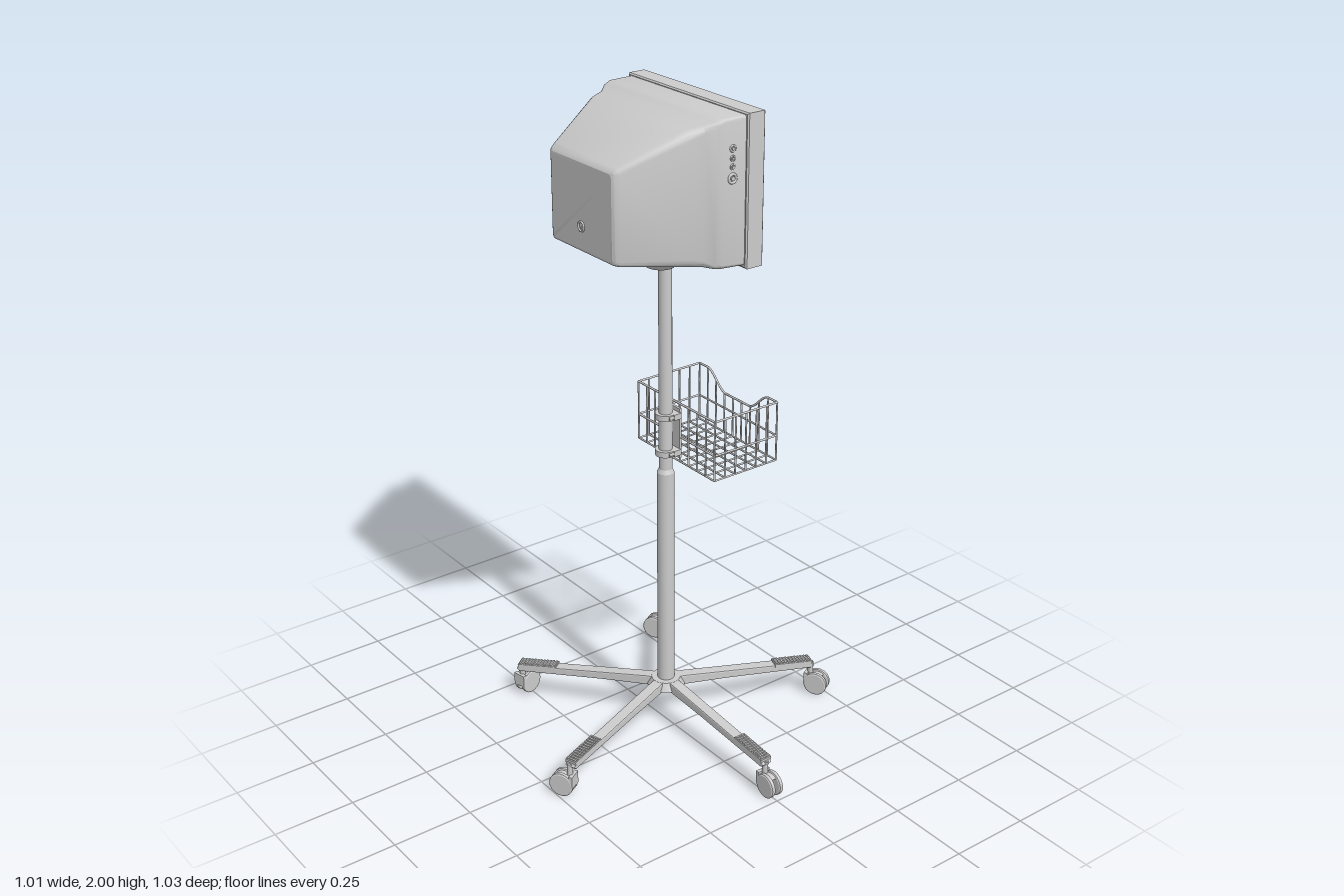
import * as THREE from 'three';
import { toCreasedNormals } from 'three/addons/utils/BufferGeometryUtils.js';

const mat = new THREE.MeshStandardMaterial({ color: 0xcccccc });
const CX = -0.046, CZ = -0.002; // axis of the pole

function add(parent, name, geo, x = 0, y = 0, z = 0) {
  const m = new THREE.Mesh(geo, mat);
  m.name = name;
  m.position.set(x, y, z);
  parent.add(m);
  return m;
}

function group(parent, name, x = 0, y = 0, z = 0) {
  const g = new THREE.Group();
  g.name = name;
  g.position.set(x, y, z);
  parent.add(g);
  return g;
}

const box = (w, h, d) => new THREE.BoxGeometry(w, h, d);
const cyl = (r0, r1, h, n = 24) => new THREE.CylinderGeometry(r0, r1, h, n);

// Straight wire between two points
function rod(parent, name, a, b, r = 0.003) {
  const p = new THREE.Vector3(...a), q = new THREE.Vector3(...b);
  const m = add(parent, name, cyl(r, r, p.distanceTo(q), 6));
  m.position.copy(p).lerp(q, 0.5);
  m.quaternion.setFromUnitVectors(new THREE.Vector3(0, 1, 0), q.sub(p).normalize());
}

function rectPath(Type, hw, y0, y1) {
  const s = new Type();
  s.moveTo(-hw, y0);
  s.lineTo(hw, y0);
  s.lineTo(hw, y1);
  s.lineTo(-hw, y1);
  s.closePath();
  return s;
}

// Closed loft through rounded rectangles [z, halfWidth, bottom, top, radius]
function loft(sections, steps = 4) {
  const pos = [], idx = [], n = 4 * (steps + 1);
  for (const [z, hw, y0, y1, r] of sections) {
    const corners = [[hw - r, y1 - r], [-hw + r, y1 - r], [-hw + r, y0 + r], [hw - r, y0 + r]];
    corners.forEach(([x, y], c) => {
      for (let i = 0; i <= steps; i++) {
        const a = (c + i / steps) * Math.PI / 2;
        pos.push(x + r * Math.cos(a), y + r * Math.sin(a), z);
      }
    });
  }
  const last = sections.length - 1;
  for (let s = 0; s < last; s++) for (let j = 0; j < n; j++) {
    const a = s * n + j, b = s * n + (j + 1) % n;
    idx.push(a, b, b + n, a, b + n, a + n);
  }
  for (let j = 1; j < n - 1; j++) {
    idx.push(0, j + 1, j, last * n, last * n + j, last * n + j + 1);
  }
  const g = new THREE.BufferGeometry();
  g.setAttribute('position', new THREE.Float32BufferAttribute(pos, 3));
  g.setIndex(idx);
  return toCreasedNormals(g, 0.5);
}

function buildMonitor(root) {
  const g = group(root, 'monitor', CX);
  // Tapered rear housing
  add(g, 'housing', loft([
    [-0.08, 0.26, 1.575, 1.994, 0.008], [0.0, 0.26, 1.58, 1.994, 0.012],
    [0.02, 0.256, 1.582, 1.988, 0.015], [0.045, 0.238, 1.587, 1.978, 0.02],
    [0.085, 0.23, 1.592, 1.97, 0.025], [0.262, 0.155, 1.612, 1.884, 0.014],
    [0.274, 0.148, 1.617, 1.876, 0.012], [0.279, 0.14, 1.625, 1.868, 0.01]]));
  // Screen frame with sloped inner lip
  const frame = rectPath(THREE.Shape, 0.264, 1.57, 1.996);
  frame.holes.push(rectPath(THREE.Path, 0.22, 1.627, 1.958));
  add(g, 'bezel', new THREE.ExtrudeGeometry(frame, {
    depth: 0.052, bevelThickness: 0.004, bevelSize: 0.004, bevelSegments: 1 }), 0, 0, -0.131);
  // Bulging glass
  const glass = new THREE.PlaneGeometry(0.45, 0.34, 16, 12);
  const p = glass.attributes.position;
  for (let i = 0; i < p.count; i++) {
    const u = p.getX(i) / 0.225, v = p.getY(i) / 0.17;
    p.setZ(i, 0.012 * (1 - (u * u + v * v) / 2));
  }
  glass.computeVertexNormals();
  add(g, 'screen', glass, 0, 1.7925, -0.115).rotation.y = Math.PI;
  // Front controls
  for (let i = 0; i < 6; i++) add(g, 'frontButton', box(0.014, 0.007, 0.004), 0.17 - i * 0.05, 1.596, -0.136);
  add(g, 'controlPanel', box(0.06, 0.036, 0.006), -0.165, 1.59, -0.136);
  add(g, 'frontKnob', cyl(0.012, 0.012, 0.01), -0.165, 1.59, -0.136).rotation.x = Math.PI / 2;
  // Side sockets
  for (const [y, r] of [[1.83, 0.016], [1.862, 0.009], [1.885, 0.009], [1.912, 0.011]]) {
    const s = group(g, 'sideSocket', 0.26, y, -0.03);
    s.rotation.y = Math.PI / 2;
    add(s, 'socketRing', new THREE.TorusGeometry(r * 0.75, r * 0.25, 8, 20));
    add(s, 'socketCore', cyl(r * 0.4, r * 0.4, 0.008, 16)).rotation.x = Math.PI / 2;
  }
  // Rear cable port
  const port = group(g, 'rearPort', 0, 1.69, 0.28);
  add(port, 'portRing', new THREE.TorusGeometry(0.013, 0.003, 8, 20));
  add(port, 'portPin', box(0.012, 0.005, 0.005), 0.006, -0.002, 0);
  // Swivel dish below the housing
  const dish = [[0, 1.522], [0.045, 1.522], [0.052, 1.528], [0.095, 1.565], [0.1, 1.575], [0.1, 1.6], [0, 1.6]]
    .map(([r, y]) => new THREE.Vector2(r, y));
  const d = add(g, 'swivelDish', toCreasedNormals(new THREE.LatheGeometry(dish, 32), 0.5), 0, 0, 0.017);
  d.scale.z = 0.92;
}

function buildBasket(root) {
  const g = group(root, 'basket', CX);
  const hw = 0.184, z0 = -0.04, z1 = -0.272, y0 = 0.9, ym = 0.98, y1 = 1.087;
  // Scooped rim on the outer side
  const rimY = x => y1 - 0.058 * THREE.MathUtils.smoothstep(0.145 - Math.abs(x), 0, 0.09);
  for (let i = 0; i <= 9; i++) {
    const x = -hw + 2 * hw * i / 9;
    rod(g, 'floorWire', [x, y0, z0], [x, y0, z1]);
    rod(g, 'innerWire', [x, y0, z0], [x, y1, z0]);
    rod(g, 'outerWire', [x, y0, z1], [x, rimY(x), z1]);
  }
  for (let i = 0; i <= 6; i++) {
    const z = z0 + (z1 - z0) * i / 6;
    rod(g, 'floorWire', [-hw, y0, z], [hw, y0, z]);
    for (const s of [-hw, hw]) rod(g, 'sideWire', [s, y0, z], [s, y1, z]);
  }
  for (const y of [ym, y1]) {
    rod(g, 'innerRail', [-hw, y, z0], [hw, y, z0], 0.0035);
    for (const s of [-hw, hw]) rod(g, 'sideRail', [s, y, z0], [s, y, z1], 0.0035);
  }
  rod(g, 'outerRail', [-hw, ym, z1], [hw, ym, z1]);
  const pts = Array.from({ length: 33 }, (_, i) => {
    const x = -hw + 2 * hw * i / 32;
    return new THREE.Vector3(x, rimY(x), z1);
  });
  add(g, 'scoopedRim', new THREE.TubeGeometry(new THREE.CatmullRomCurve3(pts), 64, 0.0035, 6));
  // Mounting plate and pole clamps
  add(g, 'mountPlate', box(0.055, 0.16, 0.008), 0, 0.995, -0.036);
  for (const y of [0.937, 1.054]) {
    add(g, 'clampRing', cyl(0.031, 0.031, 0.018), 0, y, CZ);
    add(g, 'clampBar', box(0.068, 0.018, 0.026), 0, y, -0.022);
    for (const s of [-1, 1]) add(g, 'clampBolt', cyl(0.006, 0.006, 0.03, 8), s * 0.028, y, -0.008).rotation.x = Math.PI / 2;
  }
}

// Twin-wheel caster pointing along its own +x
function buildCaster(root, x, z, angle) {
  const g = group(root, 'caster', x, 0.04, z);
  g.rotation.y = angle;
  for (const s of [-1, 1]) {
    const prof = [[0, -0.0075], [0.034, -0.0075], [0.038, -0.005], [0.038, 0.005], [0.034, 0.0075], [0, 0.0075]]
      .map(([r, y]) => new THREE.Vector2(r, y));
    add(g, 'wheel', toCreasedNormals(new THREE.LatheGeometry(prof, 28), 0.4), 0, 0, s * 0.0145).rotation.x = Math.PI / 2;
  }
  add(g, 'axle', cyl(0.008, 0.008, 0.03, 12)).rotation.x = Math.PI / 2;
  const hood = new THREE.Shape();
  hood.moveTo(0, 0);
  hood.absarc(0, 0, 0.034, Math.PI * 0.3, Math.PI * 1.1, false);
  hood.closePath();
  add(g, 'hood', new THREE.ExtrudeGeometry(hood, { depth: 0.014, bevelEnabled: false, curveSegments: 16 }), 0, 0, -0.007);
  add(g, 'hoodBack', box(0.012, 0.04, 0.042), -0.032, 0.015, 0);
  add(g, 'stem', cyl(0.009, 0.009, 0.05, 12), -0.022, 0.045, 0);
}

function buildBase(root) {
  const g = group(root, 'base', CX, 0, CZ);
  add(g, 'hub', cyl(0.045, 0.058, 0.026, 30), 0, 0.145, 0);
  // Side profile of a leg, falling outwards
  const side = new THREE.Shape();
  side.moveTo(0, 0.128);
  side.lineTo(0.2, 0.118);
  side.lineTo(0.485, 0.096);
  side.lineTo(0.493, 0.104);
  side.lineTo(0.485, 0.116);
  side.lineTo(0.06, 0.156);
  side.lineTo(0, 0.158);
  side.closePath();
  const legGeo = new THREE.ExtrudeGeometry(side, {
    depth: 0.026, bevelThickness: 0.005, bevelSize: 0.004, bevelOffset: -0.003, bevelSegments: 2 });
  legGeo.translate(0, 0, -0.013);
  for (let i = 0; i < 5; i++) {
    const leg = group(g, 'leg');
    leg.rotation.y = i * Math.PI * 0.4;
    add(leg, 'legBeam', legGeo);
    // Ribbed step pad near the tip
    const pad = group(leg, 'stepPad', 0.425, 0.121, 0);
    pad.rotation.z = -0.094;
    add(pad, 'padPlate', box(0.128, 0.012, 0.038));
    for (let k = 0; k < 12; k++) add(pad, 'padRib', box(0.005, 0.004, 0.034), -0.058 + k * 0.0105, 0.0075, 0);
  }
  // Casters swivelled freely
  const casters = [[0.462, -0.002, 0], [0.128, -0.478, 0.52], [-0.465, -0.275, 3.67], [-0.446, 0.256, 1.78], [0.083, 0.475, 3.67]];
  for (const [x, z, a] of casters) buildCaster(root, x, z, a);
}

export function createModel() {
  const root = new THREE.Group();
  root.name = 'monitorStand';
  buildBase(root);
  // Telescopic pole
  add(root, 'lowerPole', cyl(0.026, 0.026, 0.72, 32), CX, 0.51, CZ);
  add(root, 'poleCollar', cyl(0.02, 0.026, 0.012, 32), CX, 0.876, CZ);
  add(root, 'upperPole', cyl(0.02, 0.02, 0.67, 32), CX, 1.205, CZ);
  buildBasket(root);
  buildMonitor(root);
  return root;
}
